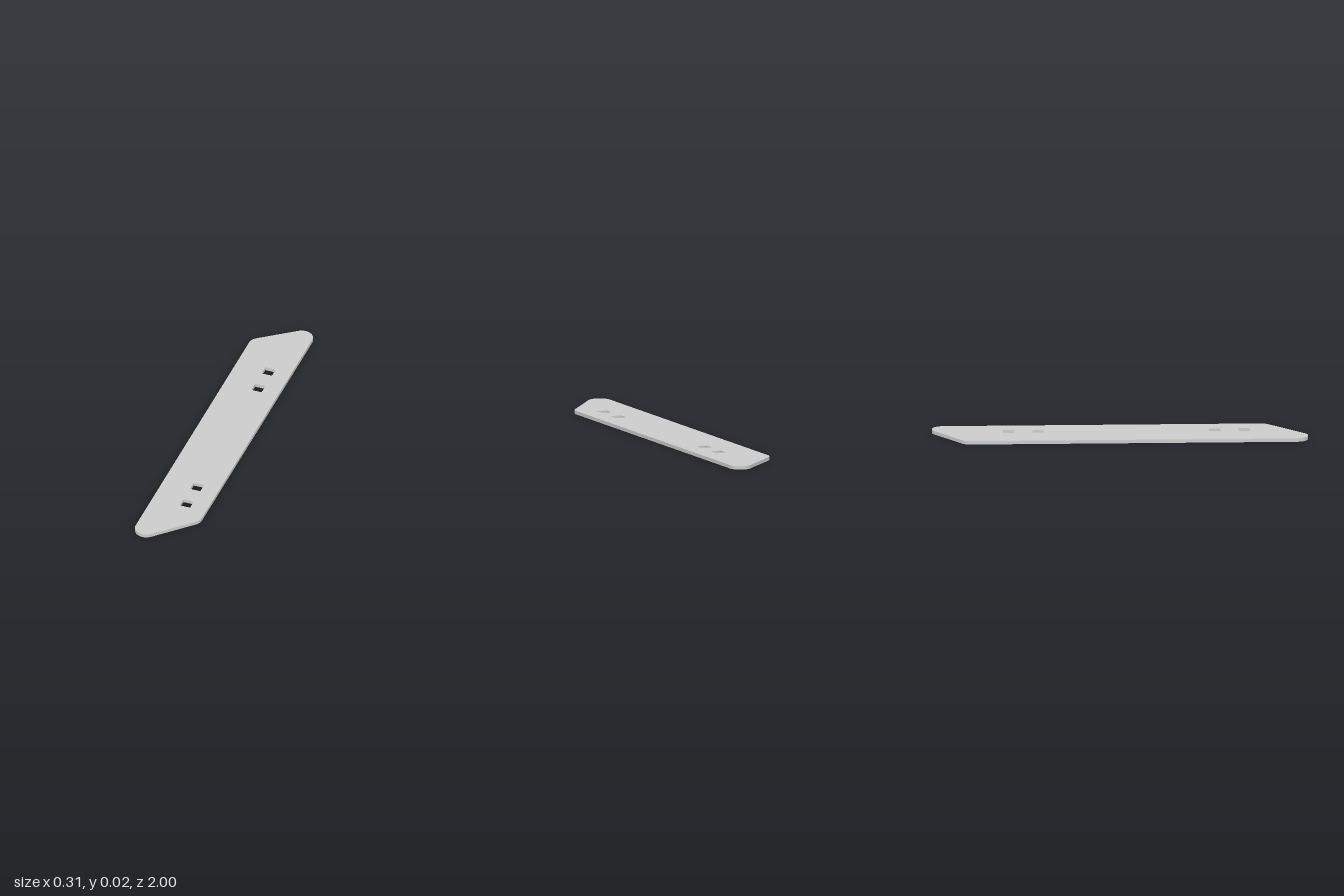
import * as THREE from 'three';
import { toCreasedNormals } from 'three/addons/utils/BufferGeometryUtils.js';

const THICKNESS = 0.019;
const CORNER = 0.061;  // corner radius
const INSET = 0.093;   // corner centre distance from the long axis
const HOLE = 0.058;    // side of each square hole

// Flat bar outline: long straight sides, slanted ends, rounded corners
function plateShape() {
  const shape = new THREE.Shape();
  const front = Math.PI * 1.75;
  const back = Math.PI / 2 + Math.atan2(0.939 - 0.8, 2 * INSET);
  const corners = [
    [-INSET, -0.939, Math.PI, front],
    [INSET, -0.753, front, Math.PI * 2],
    [INSET, 0.939, 0, back],
    [-INSET, 0.8, back, Math.PI],
  ];
  for (const [x, y, from, to] of corners) shape.absarc(x, y, CORNER, from, to, false);
  shape.closePath();
  return shape;
}

// Square hole centred on (x, y)
function squareHole(x, y) {
  const h = HOLE / 2;
  const hole = new THREE.Path();
  hole.moveTo(x - h, y - h);
  hole.lineTo(x - h, y + h);
  hole.lineTo(x + h, y + h);
  hole.lineTo(x + h, y - h);
  hole.closePath();
  return hole;
}

export function createModel() {
  const group = new THREE.Group();
  group.name = 'slottedPlate';

  // Two pairs of mounting holes, offset to the left of the axis
  const shape = plateShape();
  for (const z of [-0.593, -0.436, 0.504, 0.661]) shape.holes.push(squareHole(0.034, -z));

  const extruded = new THREE.ExtrudeGeometry(shape, {
    depth: THICKNESS, bevelEnabled: false, curveSegments: 16,
  });
  extruded.rotateX(-Math.PI / 2);

  const plate = new THREE.Mesh(
    toCreasedNormals(extruded, Math.PI / 6),
    new THREE.MeshStandardMaterial({ color: 0xcccccc }),
  );
  plate.name = 'plate';
  group.add(plate);
  return group;
}
